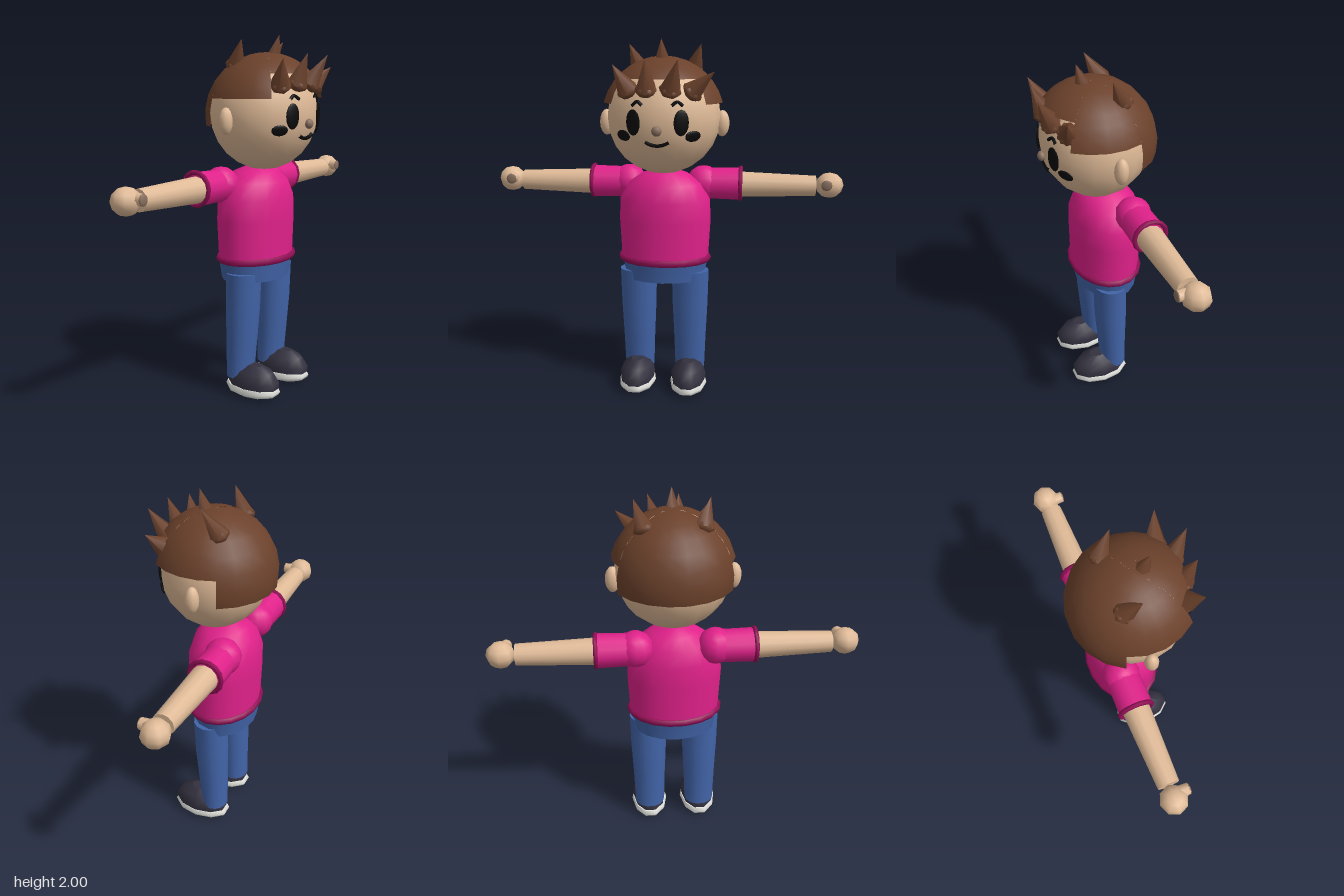
import * as THREE from 'three';

const mat = (name, color, side = THREE.FrontSide) => {
  const m = new THREE.MeshStandardMaterial({ color, side });
  m.name = name;
  return m;
};

export function createModel() {
  const skin = mat('skin', 0xdfba97), tipTone = mat('dark skin', 0x8a7160);
  const hairMat = mat('brown hair', 0x6b412b, THREE.DoubleSide);
  const shirt = mat('pink shirt', 0xe0218a), trim = mat('shirt trim', 0x920f56);
  const denim = mat('blue denim', 0x4264a8), shoeMat = mat('shoe', 0x33313f);
  const soleMat = mat('sole', 0xe6e6e2), black = mat('black', 0x0a0a0a);
  const model = new THREE.Group();
  model.name = 'boy';

  const add = (name, geo, material, x = 0, y = 0, z = 0) => {
    const m = new THREE.Mesh(geo, material);
    m.name = name;
    m.position.set(x, y, z);
    model.add(m);
    return m;
  };
  const ball = (rx, ry, rz, w = 14, h = 10) => new THREE.SphereGeometry(1, w, h).scale(rx, ry, rz);

  // Closed skin over elliptical rings [y, centreZ, radiusX, radiusZ], listed upwards
  const loft = (rings, n = 16) => {
    const pos = [], idx = [];
    const ring = ([y, cz, rx, rz]) => {
      const start = pos.length / 3;
      for (let j = 0; j < n; j++) {
        const t = (j / n) * Math.PI * 2;
        pos.push(Math.cos(t) * rx, y, cz + Math.sin(t) * rz);
      }
      return start;
    };
    const starts = rings.map(ring);
    for (let i = 0; i < rings.length - 1; i++) {
      for (let j = 0; j < n; j++) {
        const k = (j + 1) % n, a = starts[i], c = starts[i + 1];
        idx.push(a + j, c + j, a + k, a + k, c + j, c + k);
      }
    }
    for (const [r, top] of [[rings[0], false], [rings[rings.length - 1], true]]) {
      const s = ring(r), centre = pos.length / 3;
      pos.push(0, r[0], r[1]);
      for (let j = 0; j < n; j++) {
        const k = (j + 1) % n;
        idx.push(centre, s + (top ? k : j), s + (top ? j : k));
      }
    }
    const g = new THREE.BufferGeometry();
    g.setAttribute('position', new THREE.Float32BufferAttribute(pos, 3));
    g.setIndex(idx);
    g.computeVertexNormals();
    return g;
  };

  // Torso, shirt hem and hips
  add('torso', loft([[0.77, -0.07, 0.25, 0.187], [1.0, -0.07, 0.262, 0.192], [1.12, -0.07, 0.257, 0.19],
    [1.21, -0.07, 0.208, 0.165], [1.265, -0.07, 0.13, 0.12], [1.295, -0.07, 0.04, 0.05]], 18), shirt);
  add('shirtHem', new THREE.TorusGeometry(1, 0.075, 6, 18).rotateX(Math.PI / 2)
    .scale(0.25, 0.27, 0.19), trim, 0, 0.78, -0.07);
  add('hips', loft([[0.66, -0.075, 0.228, 0.17], [0.78, -0.075, 0.248, 0.185]]), denim);

  for (const s of [1, -1]) {
    // Leg and shoe
    const x = s * 0.15;
    add('leg', loft([[0.1, -0.075, 0.086, 0.075], [0.3, -0.064, 0.093, 0.084],
      [0.5, -0.055, 0.102, 0.094], [0.71, -0.047, 0.107, 0.094]], 14), denim, x);
    add('shoe', loft([[0.05, 0.017, 0.095, 0.16], [0.095, 0.015, 0.102, 0.166],
      [0.145, 0.02, 0.08, 0.125], [0.178, 0.025, 0.035, 0.05]], 10), shoeMat, x);
    add('sole', loft([[0.003, 0.012, 0.07, 0.12], [0.022, 0.012, 0.1, 0.165],
      [0.04, 0.012, 0.107, 0.175], [0.06, 0.012, 0.1, 0.165]], 10), soleMat, x);

    // Arm: shoulder, sleeve, cuff, forearm, hand, thumb
    const rod = (rIn, rOut, len) => new THREE.CylinderGeometry(rOut, rIn, len, 12).rotateZ(-s * Math.PI / 2);
    add('shoulder', ball(0.1, 0.1, 0.1, 12, 8), shirt, s * 0.215, 1.2, -0.15);
    add('sleeve', rod(0.088, 0.093, 0.23), shirt, s * 0.31, 1.197, -0.15);
    add('cuff', new THREE.TorusGeometry(0.089, 0.013, 6, 14).rotateY(Math.PI / 2), trim, s * 0.425, 1.2, -0.153);
    add('forearm', rod(0.075, 0.058, 0.475), skin, s * 0.608, 1.195, -0.15);
    add('hand', ball(0.078, 0.072, 0.075, 8, 6), skin, s * 0.922, 1.2, -0.155);
    add('thumb', new THREE.CylinderGeometry(0.03, 0.036, 0.08, 8).rotateX(Math.PI / 2), skin, s * 0.9, 1.212, -0.105);
    add('thumbTip', ball(0.03, 0.03, 0.008, 8, 6), tipTone, s * 0.9, 1.212, -0.064);

    add('ear', ball(0.04, 0.072, 0.037, 10, 8), skin, s * 0.32, 1.552, -0.03);
  }

  // Head
  const headC = new THREE.Vector3(0, 1.587, -0.012), headR = new THREE.Vector3(0.312, 0.312, 0.29);
  add('head', ball(headR.x, headR.y, headR.z, 16, 12), skin, headC.x, headC.y, headC.z);

  // Point on the face at x, y, and flat ovals laid on the face
  const facePoint = (x, y, lift = 0) => {
    const u = x / headR.x, v = (y - headC.y) / headR.y;
    return new THREE.Vector3(x, y, headC.z + headR.z * Math.sqrt(1 - u * u - v * v) + lift);
  };
  const oval = (name, x, y, rx, ry) => {
    const p = facePoint(x, y, 0.002);
    const m = add(name, ball(rx, ry, 0.009, 14, 8), black, p.x, p.y, p.z);
    const n = p.clone().sub(headC).divide(headR).divide(headR);
    m.lookAt(p.clone().add(n));
  };
  const stroke = (name, pts, r) => {
    const curve = new THREE.CatmullRomCurve3(pts.map(([x, y]) => facePoint(x, y, 0.002)));
    add(name, new THREE.TubeGeometry(curve, 12, r, 6), black);
  };
  for (const s of [1, -1]) {
    oval('eye', s * 0.125, 1.577, 0.041, 0.068);
    oval('cheek', s * 0.182, 1.505, 0.046, 0.03);
    stroke('eyebrow', [[s * 0.132, 1.662], [s * 0.105, 1.683], [s * 0.075, 1.664]], 0.009);
  }
  stroke('mouth', [[-0.062, 1.476], [-0.035, 1.463], [0, 1.457], [0.035, 1.463], [0.062, 1.476]], 0.01);
  add('nose', ball(0.027, 0.027, 0.022, 10, 8), tipTone, 0, 1.535, 0.278);

  // Hair cap: front, two sides and back, each with its own hairline height
  const hairY = 1.575, hairR = 0.337, deg = Math.PI / 180;
  const patches = [[40, 100, 5, 1.795], [140, 67, 4, 1.667], [207, 126, 7, 1.52], [-27, 67, 4, 1.667]];
  for (const [from, span, segs, edge] of patches) {
    const theta = Math.acos((edge - hairY) / hairR);
    add('hairCap', new THREE.SphereGeometry(hairR, segs, 7, from * deg, span * deg, 0, theta), hairMat, 0, hairY, 0);
  }

  // Hair spikes: base, tip, radius
  const spikes = [
    [[-0.16, 1.735, 0.2], [-0.228, 1.87, 0.265], 0.06],
    [[-0.06, 1.74, 0.235], [-0.055, 1.9, 0.3], 0.06],
    [[0.065, 1.74, 0.235], [0.113, 1.895, 0.32], 0.06],
    [[0.175, 1.73, 0.19], [0.292, 1.835, 0.235], 0.06],
    [[0, 1.87, 0.045], [0, 2.0, 0.085], 0.05],
    [[-0.145, 1.84, -0.1], [-0.188, 1.975, -0.025], 0.055],
    [[0.155, 1.84, -0.1], [0.202, 1.975, -0.025], 0.055],
  ];
  for (const [b, t, r] of spikes) {
    const base = new THREE.Vector3(...b), dir = new THREE.Vector3(...t).sub(base), len = dir.length();
    const m = add('hairSpike', new THREE.ConeGeometry(r, len, 6).translate(0, len / 2, 0), hairMat, ...b);
    m.quaternion.setFromUnitVectors(new THREE.Vector3(0, 1, 0), dir.normalize());
    // rounded root of the spike
    const root = add('hairSpikeRoot', ball(r, 0.035, r, 6, 6), hairMat, ...b);
    root.quaternion.copy(m.quaternion);
  }

  return model;
}
